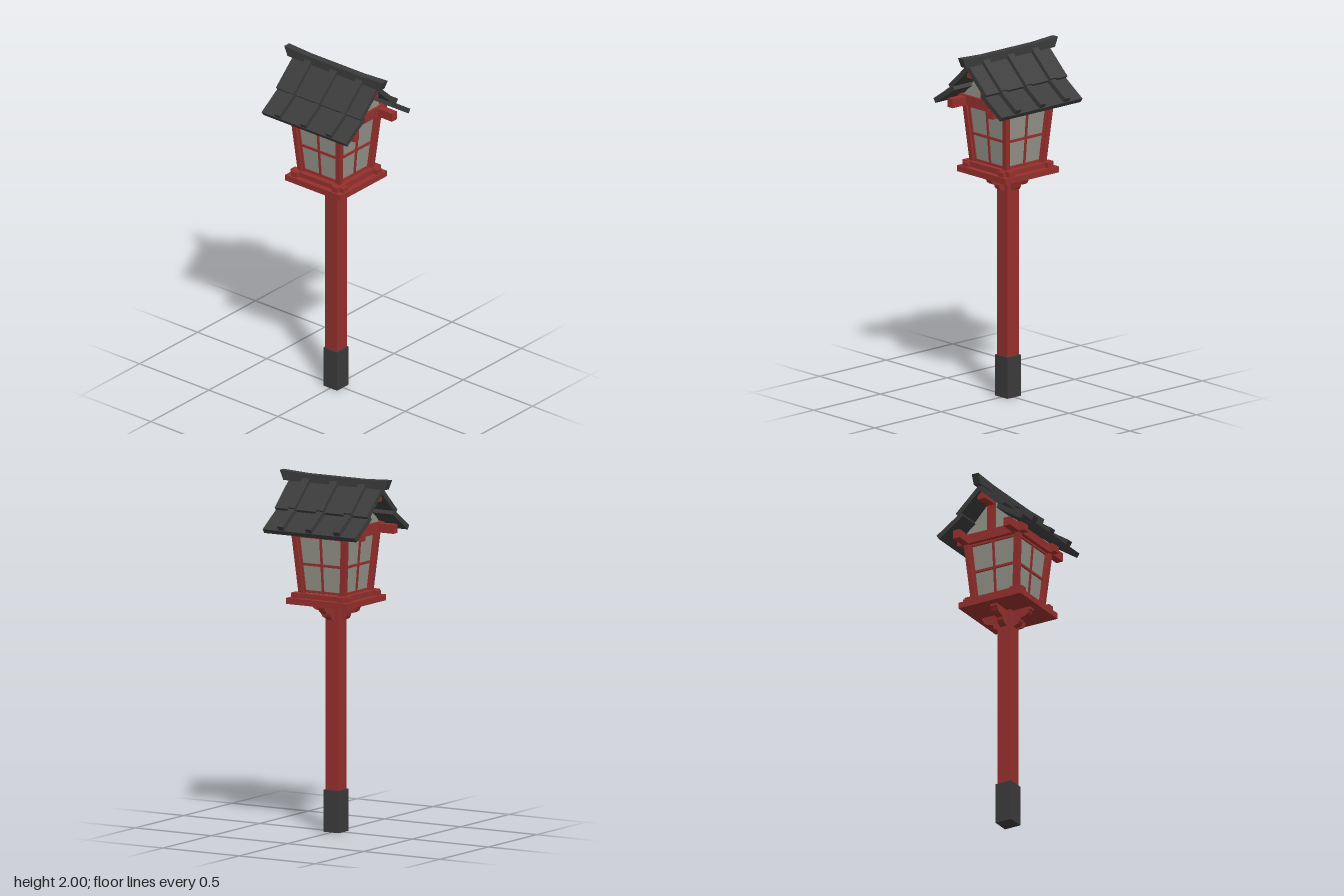
import * as THREE from 'three';

const mat = (color) => new THREE.MeshStandardMaterial({ color, flatShading: true });

export function createModel() {
  const root = new THREE.Group();
  root.name = 'lanternPost';
  const red = mat(0x96302d), dark = mat(0x3b3b3b), paper = mat(0x95948a);

  const add = (parent, name, geo, material, x = 0, y = 0, z = 0) => {
    const m = new THREE.Mesh(geo, material);
    m.name = name;
    m.position.set(x, y, z);
    parent.add(m);
    return m;
  };
  const box = (parent, name, material, w, h, d, x, y, z) =>
    add(parent, name, new THREE.BoxGeometry(w, h, d), material, x, y, z);

  // Extrusion centred on its depth
  const extrude = (points, depth) => {
    const s = new THREE.Shape(points.map(([x, y]) => new THREE.Vector2(x, y)));
    return new THREE.ExtrudeGeometry(s, { depth, bevelEnabled: false }).translate(0, 0, -depth / 2);
  };

  // Box whose top is shifted sideways, standing on y = 0
  const leaningBar = (w, h, d, dx, dz) => {
    const g = new THREE.BoxGeometry(w, h, d).translate(0, h / 2, 0);
    const p = g.attributes.position;
    for (let i = 0; i < p.count; i++) {
      const t = p.getY(i) / h;
      p.setX(i, p.getX(i) + dx * t);
      p.setZ(i, p.getZ(i) + dz * t);
    }
    g.computeVertexNormals();
    return g;
  };

  // Post and foot
  box(root, 'foot', dark, 0.1, 0.236, 0.1, 0, 0.118, 0);
  box(root, 'post', red, 0.086, 1.07, 0.086, 0, 0.765, 0);

  // Four scalloped brackets under the platform
  const bracket = extrude([
    [0.03, 1.192], [0.055, 1.192], [0.075, 1.2], [0.084, 1.215], [0.087, 1.231],
    [0.105, 1.234], [0.125, 1.239], [0.141, 1.25], [0.148, 1.268], [0.155, 1.272],
    [0.155, 1.29], [0.03, 1.29],
  ], 0.04);
  for (let k = 0; k < 4; k++) add(root, 'bracket', bracket, red).rotation.y = k * Math.PI / 2;

  // Platform and crossing sill bars
  box(root, 'platform', red, 0.4, 0.034, 0.4, 0, 1.303, 0);
  for (const s of [-1, 1]) {
    box(root, 'sillBar', red, 0.38, 0.032, 0.042, 0, 1.334, s * 0.146);
    box(root, 'sillBar', red, 0.042, 0.028, 0.38, s * 0.146, 1.332, 0);
  }

  // Flared paper box
  const y0 = 1.335, H = 0.35, flare = 0.03;
  const shell = new THREE.CylinderGeometry(0.158 * Math.SQRT2, 0.128 * Math.SQRT2, H, 4)
    .rotateY(Math.PI / 4);
  add(root, 'paperBox', shell, paper, 0, y0 + H / 2, 0);

  // One side of the lantern frame, repeated around
  for (let k = 0; k < 4; k++) {
    const side = new THREE.Group();
    side.name = 'lanternSide';
    side.rotation.y = k * Math.PI / 2;
    root.add(side);
    add(side, 'cornerPost', leaningBar(0.03, H, 0.03, flare, flare), red, 0.135, y0, 0.135);
    for (const s of [-1, 1])
      add(side, 'edgeTrim', leaningBar(0.012, H, 0.014, s * flare * 0.9, flare), red, s * 0.116, y0, 0.13);
    add(side, 'upright', leaningBar(0.013, H, 0.014, 0, flare), red, 0, y0, 0.128);
    for (const [t, h] of [[0.06, 0.014], [0.5, 0.014], [0.96, 0.02]])
      box(side, 'rail', red, 0.25 + t * 0.05, h, 0.014, 0, y0 + t * H, 0.129 + t * flare);
  }

  // Crossing beams carrying the roof
  for (const s of [-1, 1]) {
    box(root, 'crossBeam', red, 0.434, 0.055, 0.04, 0, 1.703, s * 0.165);
    box(root, 'eaveBeam', red, 0.042, 0.05, 0.57, s * 0.163, 1.699, 0);
    // Gable panel and king post
    add(root, 'gablePanel', extrude([[-0.185, 1.72], [0.185, 1.72], [0.14, 1.77], [0, 1.92], [-0.14, 1.77]], 0.02),
      paper, 0, 0, s * 0.16);
    box(root, 'kingPost', red, 0.048, 0.18, 0.03, 0, 1.80, s * 0.17);
  }
  box(root, 'ridgeBeam', red, 0.05, 0.045, 0.57, 0, 1.897, 0);

  // Sloping slab, placed by the upper corner of its lower end
  const slab = (parent, name, x, y, angle, length, thick, width, z = 0) => {
    const g = new THREE.BoxGeometry(length, thick, width).translate(-length / 2, -thick / 2, 0);
    add(parent, name, g, dark, x, y, z).rotation.z = -angle;
  };

  // Two-tier roof with batten caps, turned for the other slope
  for (const turn of [0, Math.PI]) {
    const slope = new THREE.Group();
    slope.name = 'roofSlope';
    slope.rotation.y = turn;
    root.add(slope);
    slab(slope, 'upperRoof', 0.157, 1.811, 0.75, 0.214, 0.028, 0.606);
    slab(slope, 'lowerRoof', 0.28, 1.707, 0.59, 0.19, 0.028, 0.606);
    for (const z of [-0.184, 0, 0.184]) {
      slab(slope, 'upperCap', 0.175, 1.824, 0.75, 0.235, 0.032, 0.046, z);
      slab(slope, 'lowerCap', 0.292, 1.733, 0.59, 0.17, 0.03, 0.04, z);
    }
  }

  // Ridge with upswept ends
  const ridge = extrude([
    [-0.333, 1.945], [0.333, 1.945], [0.356, 2], [0.19, 1.991], [-0.19, 1.991], [-0.356, 2],
  ], 0.042);
  add(root, 'ridge', ridge, dark).rotation.y = Math.PI / 2;

  return root;
}
